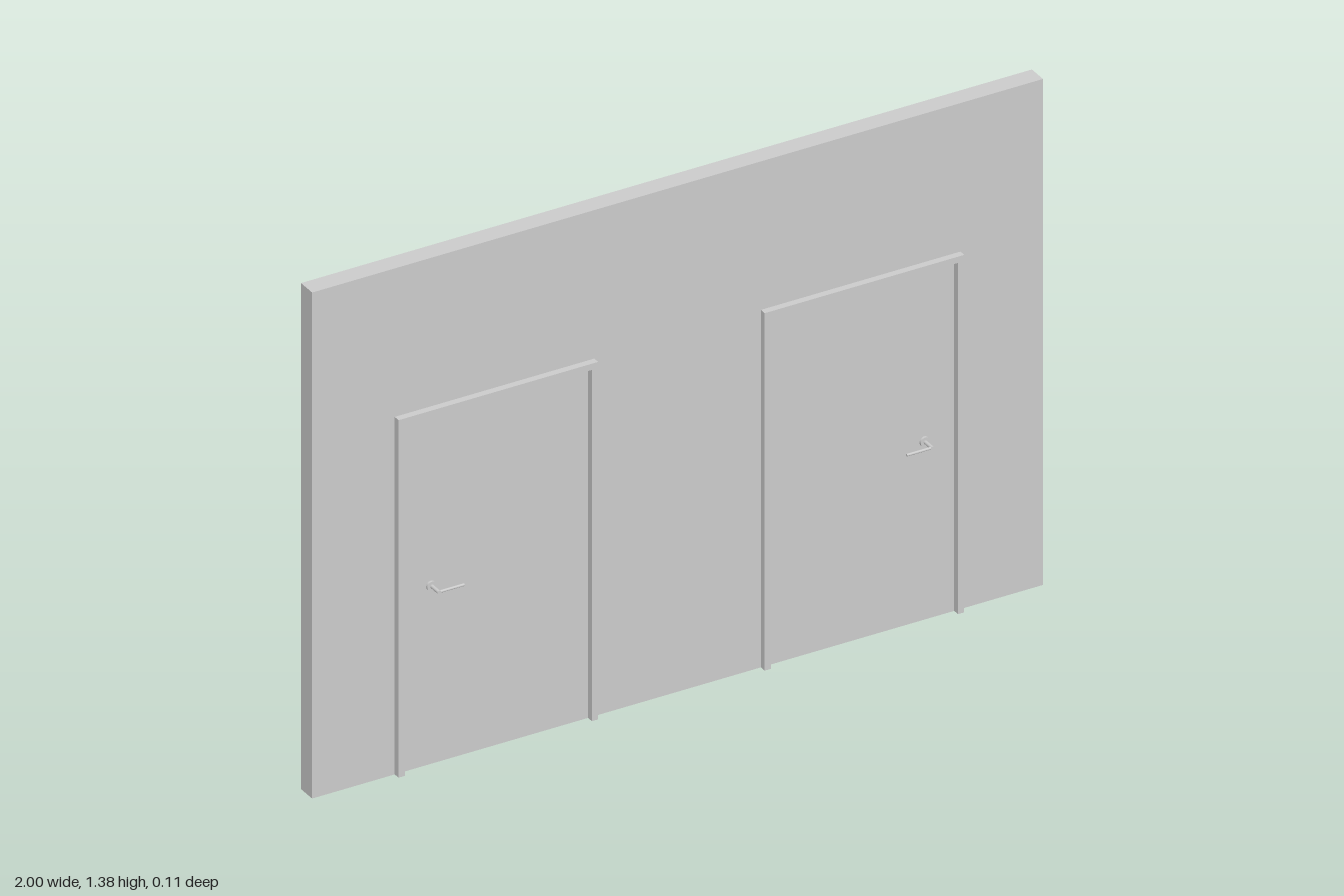
import * as THREE from 'three';

const material = new THREE.MeshStandardMaterial({ color: 0xcccccc });

function add(parent, name, geometry, x, y, z) {
  const mesh = new THREE.Mesh(geometry, material);
  mesh.name = name;
  mesh.position.set(x, y, z);
  parent.add(mesh);
  return mesh;
}

// Door surround: an upside-down U running through the wall
function frameGeometry() {
  const w = 0.273, h = 0.975, t = 0.017, depth = 0.086;
  const shape = new THREE.Shape([
    [-w, 0], [-w + t, 0], [-w + t, h - t], [w - t, h - t],
    [w - t, 0], [w, 0], [w, h], [-w, h],
  ].map(([x, y]) => new THREE.Vector2(x, y)));
  return new THREE.ExtrudeGeometry(shape, { depth, bevelEnabled: false });
}

// Round rose, short spindle and a lever pointing along dir
function createHandle(dir) {
  const handle = new THREE.Group();
  handle.name = 'doorHandle';
  const rose = new THREE.CylinderGeometry(0.013, 0.013, 0.006, 24).rotateX(Math.PI / 2);
  add(handle, 'handleRose', rose, 0, 0, 0.003);
  const spindle = new THREE.CylinderGeometry(0.005, 0.005, 0.038, 16).rotateX(Math.PI / 2);
  add(handle, 'handleSpindle', spindle, 0, 0, 0.021);
  const lever = new THREE.CylinderGeometry(0.0035, 0.0035, 0.073, 16).rotateZ(Math.PI / 2);
  add(handle, 'handleLever', lever, dir * 0.033, 0, 0.0365);
  return handle;
}

export function createModel() {
  const model = new THREE.Group();
  model.name = 'wallWithTwoDoors';

  // Wall with both door openings cut out
  const wall = new THREE.Shape([
    [-1, 0], [-0.757, 0], [-0.757, 0.958], [-0.245, 0.958], [-0.245, 0],
    [0.245, 0], [0.245, 0.958], [0.757, 0.958], [0.757, 0], [1, 0],
    [1, 1.38], [-1, 1.38],
  ].map(([x, y]) => new THREE.Vector2(x, y)));
  add(model, 'wall', new THREE.ExtrudeGeometry(wall, { depth: 0.052, bevelEnabled: false }), 0, 0, -0.037);

  // Mirrored doors, with handles near the outer jambs
  for (const side of [-1, 1]) {
    const door = new THREE.Group();
    door.name = side > 0 ? 'leftDoor' : 'rightDoor';
    door.position.x = side * 0.501;
    add(door, 'doorFrame', frameGeometry(), 0, 0, -0.053);
    add(door, 'doorLeaf', new THREE.BoxGeometry(0.512, 0.958, 0.052), 0, 0.479, -0.011);
    const handle = createHandle(-side);
    handle.position.set(side * 0.174, 0.487, 0.015);
    door.add(handle);
    model.add(door);
  }
  return model;
}
